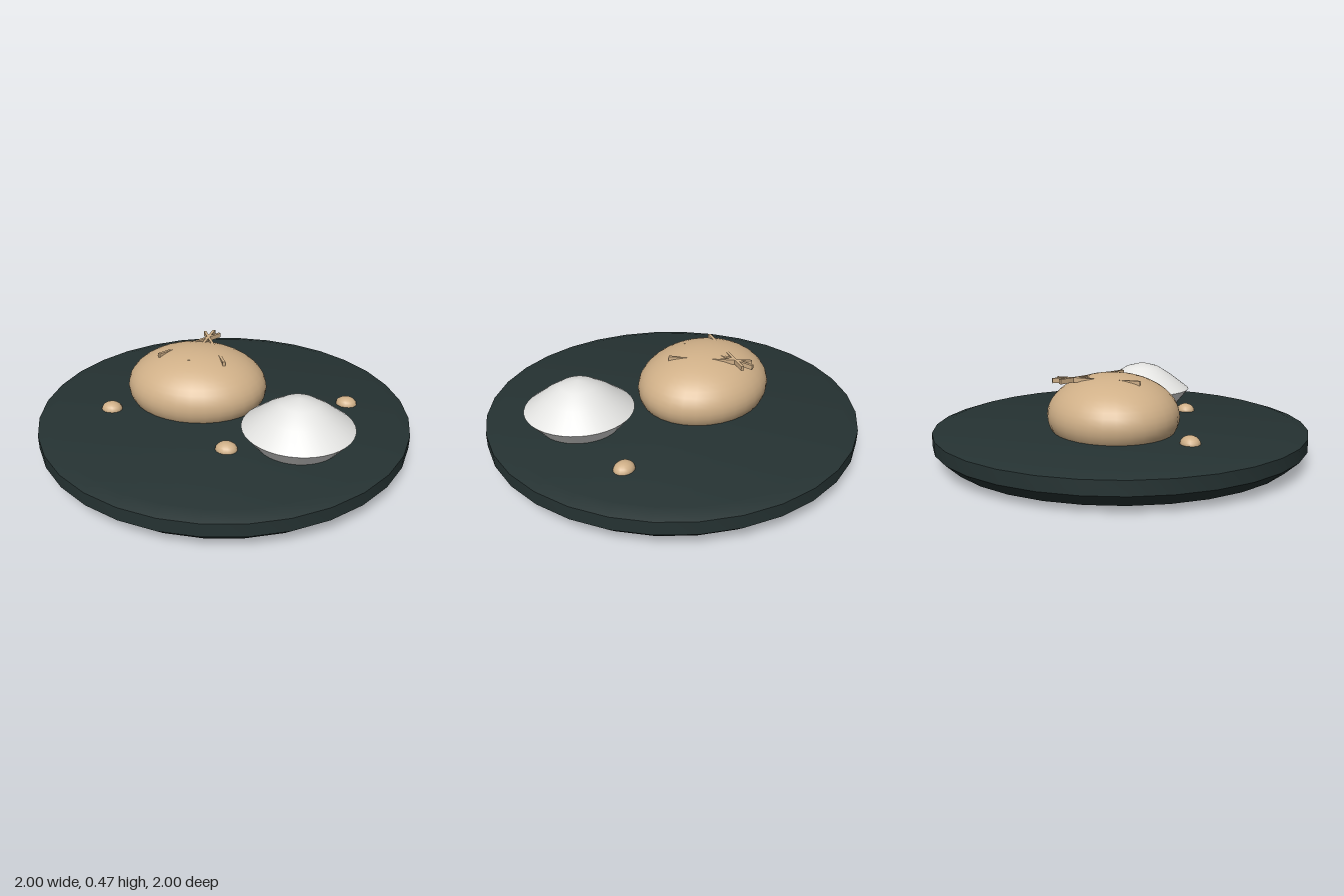
import * as THREE from 'three';
import { toCreasedNormals } from 'three/addons/utils/BufferGeometryUtils.js';

const mat = (name, color) => {
  const m = new THREE.MeshStandardMaterial({ color });
  m.name = name;
  return m;
};

// Turned shape from [radius, height] pairs, listed from the bottom up
const turned = (points, sides) => toCreasedNormals(
  new THREE.LatheGeometry(points.map(([r, y]) => new THREE.Vector2(r, y)), sides), 0.6);

export function createModel() {
  const model = new THREE.Group();
  const slate = mat('dark slate', 0x253232);
  const crust = mat('tan crust', 0xd0b088);
  const cream = mat('off white', 0xe4e4e2);

  const add = (name, geometry, material, x = 0, y = 0, z = 0) => {
    const mesh = new THREE.Mesh(geometry, material);
    mesh.name = name;
    mesh.position.set(x, y, z);
    model.add(mesh);
    return mesh;
  };

  // Round plate with a shallow coned underside and a tiny central hole
  add('plate', turned([
    [0.027, 0.003], [0.93, 0.03], [1, 0.095], [1, 0.165], [0.93, 0.187], [0, 0.187],
  ], 32), slate);

  // Loaf, sunk into the plate
  const ball = new THREE.SphereGeometry(1, 32, 24);
  add('loaf', ball, crust, -0.18, 0.26, -0.08).scale.set(0.39, 0.213, 0.34);

  // Three straight score bars, mostly buried in the loaf and fanned out
  for (const side of [-1, 0, 1]) {
    const bar = add('scoreBar', new THREE.BoxGeometry(0.015, 0.025, 0.44), crust,
      -0.18 + side * 0.07, 0.447, -0.172);
    bar.rotation.y = side * 0.55;
  }

  // Heaped cream with an undercut base
  add('creamDome', turned([
    [0.21, 0.18], [0.285, 0.272], [0.18, 0.352], [0.096, 0.405], [0, 0.43],
  ], 40), cream, 0.46, 0, 0.245);

  // Crumbs scattered on the plate
  const crumb = new THREE.SphereGeometry(1, 16, 10);
  for (const [x, z] of [[-0.575, 0.207], [0.14, 0.422], [0.64, -0.22]]) {
    add('crumb', crumb, crust, x, 0.187, z).scale.set(0.057, 0.04, 0.05);
  }

  return model;
}
